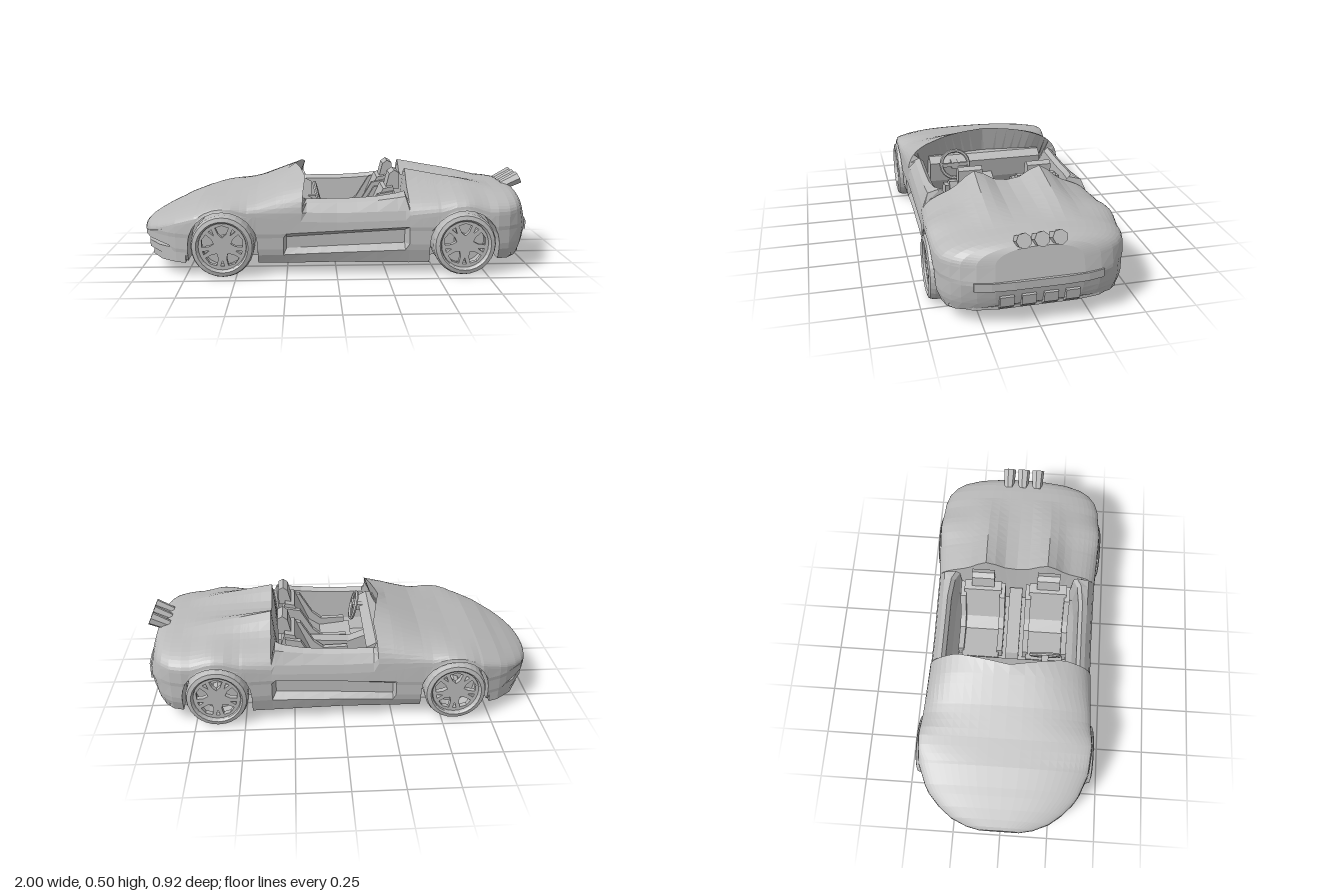
import * as THREE from 'three';

const paint = new THREE.MeshStandardMaterial({ color: 0xbababa, flatShading: true, side: THREE.DoubleSide });
paint.name = 'plain grey';

const AXLES = [-0.565, 0.635], WHEEL_R = 0.156, ARCH_R = 0.172;
const ROOF_STEPS = 14, RIM_X = -0.18;

// Body measurements: x, half width, underside, shoulder height, centre height
const BODY = [
  [-1, 0.1, 0.165, 0.18, 0.21], [-0.985, 0.17, 0.165, 0.187, 0.225], [-0.95, 0.25, 0.162, 0.2, 0.245],
  [-0.9, 0.315, 0.16, 0.215, 0.27], [-0.84, 0.37, 0.15, 0.235, 0.295], [-0.8, 0.395, 0.085, 0.25, 0.315],
  [-0.7, 0.435, 0.07, 0.28, 0.35], [-0.56, 0.445, 0.065, 0.3, 0.375], [-0.4, 0.435, 0.065, 0.3, 0.415],
  [RIM_X, 0.428, 0.062, 0.275, 0.505], [0, 0.428, 0.064, 0.27, 0.45], [0.36, 0.433, 0.058, 0.28, 0.435],
  [0.5, 0.442, 0.06, 0.3, 0.43], [0.65, 0.447, 0.07, 0.3, 0.425], [0.8, 0.438, 0.075, 0.3, 0.415],
  [0.86, 0.42, 0.075, 0.3, 0.41], [0.91, 0.385, 0.08, 0.305, 0.405], [0.945, 0.345, 0.09, 0.305, 0.4],
  [0.975, 0.28, 0.1, 0.305, 0.39], [0.99, 0.2, 0.11, 0.305, 0.38],
];

function measure(x) {
  let i = 0;
  while (i < BODY.length - 2 && x > BODY[i + 1][0]) i++;
  const a = BODY[i], b = BODY[i + 1];
  const t = THREE.MathUtils.clamp((x - a[0]) / (b[0] - a[0]), 0, 1);
  return a.map((v, k) => v + (b[k] - v) * t);
}

// Fairing behind each headrest, fading towards the tail
function fairing(x, z) {
  if (x < 0.35) return 0;
  return 0.07 * Math.max(0, 1 - (x - 0.36) / 0.45) * Math.exp(-(((z - 0.165) / 0.075) ** 2));
}

// Half a cross-section, from the bottom centre out and up to the top centre
function section(x) {
  let [, w, floor, sh, top] = measure(x);
  let edge = floor;
  for (const c of AXLES) {
    const d = Math.abs(x - c);
    if (d < ARCH_R) edge = 0.155 + Math.sqrt(ARCH_R ** 2 - d * d);
  }
  sh = Math.max(sh, edge + 0.008);
  const well = Math.min(0.27, w * 0.8);
  const row = (y) => THREE.MathUtils.clamp(y, edge, sh);
  // Side scoop: its upper edge climbs to the rear and its mouth deepens there
  const along = (x + 0.27) / 0.63;
  const vent = x > -0.26 && x < 0.35 ? 0.022 + 0.022 * along : 0;
  const low = 0.108 + 0.02 * THREE.MathUtils.clamp(along, 0, 1);
  const high = 0.215 + 0.03 * THREE.MathUtils.clamp(along, 0, 1);
  const p = [
    [x, floor, 0], [x, floor, well], [x, edge, well], [x, edge, w - 0.025], [x, row(low), w - 0.005],
    [x, row(low + 0.03), w - vent], [x, row(high - 0.02), w - vent], [x, row(high), w + 0.003], [x, sh, w],
  ];
  if (x > -0.17 && x < 0.35) { // open cockpit
    const lip = 0.38 + 0.03 * Math.max(0, x / 0.34) ** 2;
    const inner = x < -0.14 ? -0.29 : x > 0.33 ? 0.325 : x;
    const inset = x > 0.33 ? 0.035 : x > 0.29 ? 0.012 : 0;
    p.push([x, sh + 0.045, w * 0.975], [x, lip - 0.018, w * 0.91], [x, lip, 0.365 - inset],
      [x, lip - 0.02, 0.345 - inset], [inner, 0.2, 0.33 - inset]);
    for (let k = 6; k <= ROOF_STEPS; k++) p.push([inner, 0.14, 0.3 * (ROOF_STEPS - k) / (ROOF_STEPS - 6)]);
  } else {
    const e = 2 / (x < 0.35 ? 2.6 : 2.3);
    for (let k = 1; k <= ROOF_STEPS; k++) {
      const a = (k / ROOF_STEPS) * Math.PI / 2;
      const z = k === ROOF_STEPS ? 0 : w * Math.cos(a) ** e;
      // The windscreen rim wraps back at its corners
      const wrap = x === RIM_X ? -0.025 + 0.05 * Math.min(1, z / 0.28) - 0.012 * Math.max(0, z - 0.28) / 0.1 : 0;
      p.push([x + wrap, sh + (top - sh) * Math.sin(a) ** e + fairing(x, z), z]);
    }
  }
  // The tail bulges at bar height
  const lean = Math.max(0, (x - 0.88) / 0.11) * 0.24;
  return p.map(([px, y, z]) => [px - lean * Math.abs(y - 0.22), y, z]);
}

function bodyGeometry() {
  const xs = BODY.map((b) => b[0]).concat([-0.3, -0.265, -0.25, -0.15, -0.08, 0.1, 0.2, 0.3, 0.34, 0.42]);
  for (const c of AXLES) {
    for (let i = 0; i <= 12; i++) xs.push(c - (ARCH_R - 0.0005) * Math.cos((i / 12) * Math.PI));
    xs.push(c - ARCH_R - 0.001, c + ARCH_R + 0.001);
  }
  xs.sort((a, b) => a - b);
  const halves = xs.map(section);
  const flat = (h) => h.map(([x, y]) => [x, y, 0]); // closes the ends
  halves.unshift(flat(halves[0]));
  halves.push(flat(halves[halves.length - 1]));
  const pos = [], idx = [];
  for (const h of halves) {
    const ring = h.concat(h.slice(1, -1).reverse().map(([x, y, z]) => [x, y, -z]));
    ring.forEach((v) => pos.push(...v));
  }
  const n = halves[0].length * 2 - 2;
  for (let i = 0; i < halves.length - 1; i++) {
    for (let j = 0; j < n; j++) {
      const a = i * n + j, b = i * n + ((j + 1) % n);
      idx.push(a, a + n, b + n, a, b + n, b);
    }
  }
  const g = new THREE.BufferGeometry();
  g.setAttribute('position', new THREE.Float32BufferAttribute(pos, 3));
  g.setIndex(idx);
  g.computeVertexNormals();
  return g;
}

function add(parent, name, geometry, x = 0, y = 0, z = 0) {
  const m = new THREE.Mesh(geometry, paint);
  m.name = name;
  m.position.set(x, y, z);
  parent.add(m);
  return m;
}
const box = (w, h, d) => new THREE.BoxGeometry(w, h, d);
const vectors = (points) => points.map((p) => new THREE.Vector2(...p));

function extrude(points, depth, holes = []) {
  const shape = new THREE.Shape(vectors(points));
  shape.holes = holes.map((h) => new THREE.Path(vectors(h)));
  return new THREE.ExtrudeGeometry(shape, { depth, bevelEnabled: false });
}
// Horizontal slab from half a plan outline of [x, z] points, mirrored across the car
function slab(half, y0, y1) {
  const pts = half.concat([...half].reverse().map(([x, z]) => [x, -z]));
  return extrude(pts, y1 - y0).rotateX(Math.PI / 2).translate(0, y1, 0);
}
// Side outline of [x, y] points given a width across the car
const profile = (points, width) => extrude(points, width).translate(0, 0, -width / 2);
const polar = (r, a) => [r * Math.cos(a), r * Math.sin(a)];

function makeWheel(x, side) {
  const wheel = new THREE.Group();
  wheel.name = 'wheel';
  const tyre = [[0.115, -0.088], [0.145, -0.088], [WHEEL_R, -0.07], [WHEEL_R, 0.06], [0.148, 0.082],
    [0.128, 0.088], [0.12, 0.08], [0.115, 0.05], [0.115, -0.088]];
  add(wheel, 'tyre', new THREE.LatheGeometry(vectors(tyre), 28).rotateX(Math.PI / 2));
  add(wheel, 'brakeDisc', new THREE.CylinderGeometry(0.115, 0.115, 0.02, 20).rotateX(Math.PI / 2), 0, 0, -0.035);
  add(wheel, 'hub', new THREE.CylinderGeometry(0.028, 0.04, 0.1, 10).rotateX(Math.PI / 2), 0, 0, 0.02);
  // Five broad spokes left between five large holes, each spoke slit near the rim
  const rim = [], holes = [];
  for (let i = 0; i < 28; i++) rim.push(polar(0.117, (i / 28) * Math.PI * 2));
  for (let i = 0; i < 5; i++) {
    const a = Math.PI / 2 + (i / 5) * Math.PI * 2, s = a + Math.PI / 5;
    holes.push([polar(0.044, a), polar(0.065, a + 0.3), polar(0.1, a + 0.34), polar(0.106, a), polar(0.1, a - 0.34), polar(0.065, a - 0.3)]);
    holes.push([polar(0.068, s), polar(0.1, s + 0.1), polar(0.1, s - 0.1)]);
  }
  add(wheel, 'spokes', extrude(rim, 0.028, holes), 0, 0, 0.042);
  wheel.position.set(x, WHEEL_R, side * 0.372);
  if (side < 0) wheel.rotation.y = Math.PI;
  return wheel;
}

export function createModel() {
  const car = new THREE.Group();
  car.name = 'openSportsCar';
  add(car, 'body', bodyGeometry());

  // Lower bumper under the open mouth
  add(car, 'bumperLip', slab([[-0.955, 0.12], [-0.94, 0.22], [-0.88, 0.325], [-0.8, 0.39], [-0.75, 0.41], [-0.75, 0.2]], 0.068, 0.105));
  add(car, 'frontBumper', slab([[-0.98, 0.1], [-0.96, 0.21], [-0.89, 0.32], [-0.8, 0.392], [-0.75, 0.412], [-0.75, 0.2]], 0.105, 0.14));

  // Tail bar, diffuser and exhausts
  add(car, 'tailBar', slab([[0.998, 0.12], [0.992, 0.22], [0.975, 0.295], [0.9, 0.295], [0.9, 0.1]], 0.2, 0.24));
  add(car, 'diffuser', slab([[0.955, 0.18], [0.94, 0.29], [0.88, 0.39], [0.85, 0.4], [0.85, 0.1]], 0.085, 0.1));
  for (const z of [-0.15, -0.05, 0.05, 0.15]) {
    add(car, 'diffuserFin', profile([[0.86, 0.078], [0.945, 0.08], [0.985, 0.115], [0.992, 0.165], [0.9, 0.165]], 0.065), 0, 0, z);
  }
  for (const z of [-0.08, 0, 0.08]) {
    add(car, 'exhaust', new THREE.CylinderGeometry(0.035, 0.028, 0.1, 7), 0.942, 0.409, z).rotation.z = -1.12;
  }

  // Cockpit
  add(car, 'dashboard', profile([[-0.27, 0.14], [-0.27, 0.36], [-0.17, 0.375], [-0.12, 0.35], [-0.14, 0.24], [-0.2, 0.14]], 0.62));
  add(car, 'centreTunnel', profile([[-0.2, 0.14], [-0.18, 0.29], [-0.05, 0.24], [0.33, 0.26], [0.33, 0.14]], 0.07));
  add(car, 'steeringWheel', new THREE.TorusGeometry(0.075, 0.01, 6, 18).rotateY(Math.PI / 2), -0.09, 0.352, 0.18).rotation.z = 0.25;
  add(car, 'steeringSpoke', box(0.014, 0.02, 0.14), -0.09, 0.35, 0.18);
  add(car, 'steeringColumn', box(0.09, 0.035, 0.035), -0.13, 0.345, 0.18);
  for (const s of [-1, 1]) {
    const seat = new THREE.Group();
    seat.name = 'seat';
    add(seat, 'seatShell', profile([[-0.06, 0.14], [-0.07, 0.21], [0.1, 0.19], [0.16, 0.23], [0.24, 0.41], [0.29, 0.42], [0.31, 0.36], [0.26, 0.14]], 0.2));
    add(seat, 'headrest', profile([[0.255, 0.4], [0.275, 0.48], [0.3, 0.498], [0.325, 0.485], [0.325, 0.4]], 0.12));
    for (const b of [-1, 1]) {
      add(seat, 'bolster', profile([[-0.04, 0.15], [-0.04, 0.235], [0.09, 0.23], [0.14, 0.27], [0.21, 0.385], [0.29, 0.4], [0.25, 0.15]], 0.03), 0, 0, b * 0.105);
    }
    seat.position.z = s * 0.175;
    car.add(seat);
  }

  for (const x of AXLES) for (const s of [-1, 1]) car.add(makeWheel(x, s));
  return car;
}
